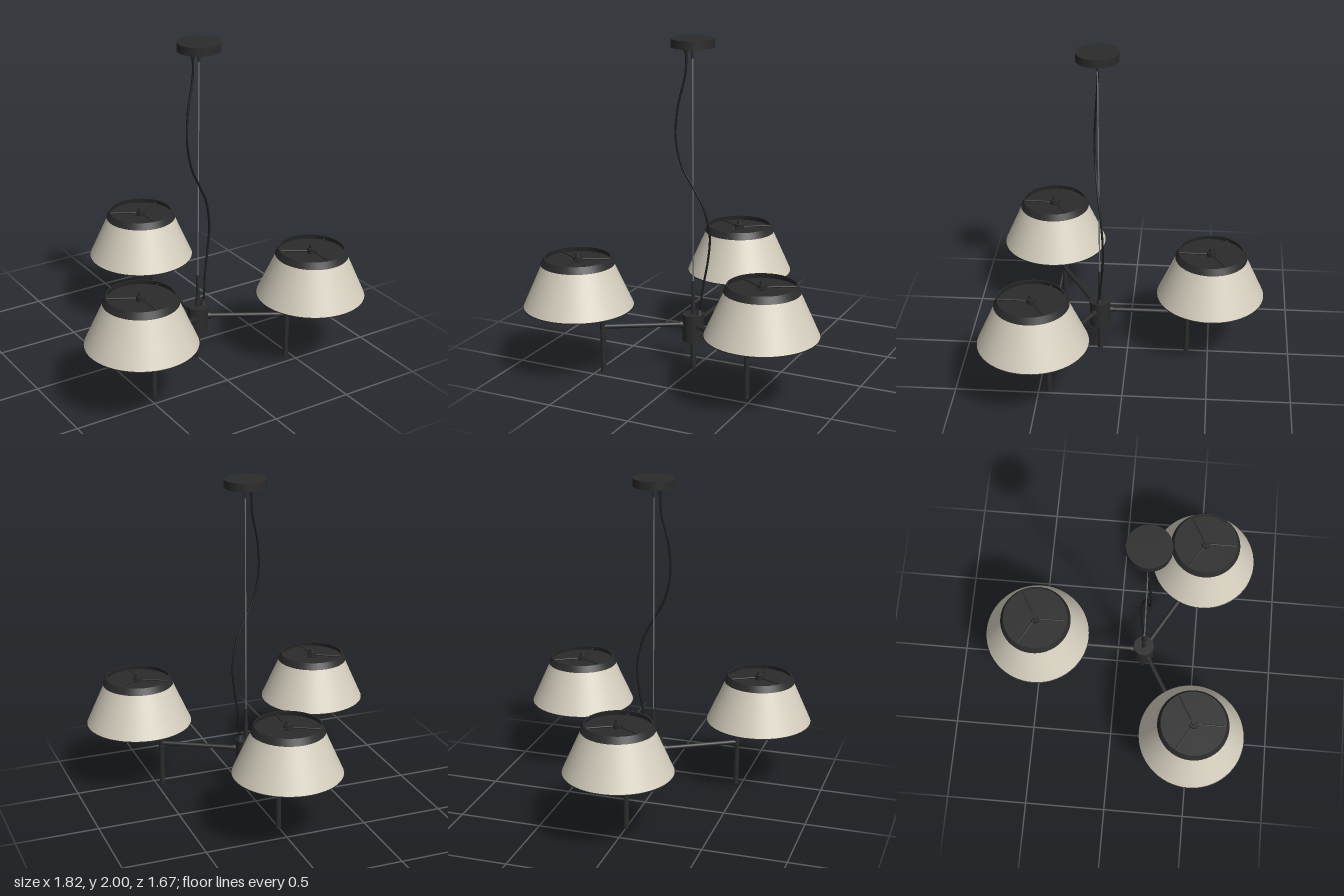
import * as THREE from 'three';

const CENTER_Z = 0.17;
const mat = (name, color, side = THREE.FrontSide) =>
  Object.assign(new THREE.MeshStandardMaterial({ color, side }), { name });

export function createModel() {
  const black = mat('black metal', 0x2b2b2b);
  const blackSheet = mat('black metal', 0x2b2b2b, THREE.DoubleSide);
  const cord = mat('black cord', 0x1c1c1c);
  const fabric = mat('cream fabric', 0xd6cfbf, THREE.DoubleSide);
  const glass = mat('bulb glass', 0xe6e1d4);
  const steel = mat('steel wire', 0x77757a);

  const root = new THREE.Group();
  root.name = 'chandelier';
  const lamp = new THREE.Group();
  lamp.name = 'fixture';
  lamp.position.z = CENTER_Z;
  root.add(lamp);

  const add = (parent, name, geometry, material, x = 0, y = 0, z = 0) => {
    const m = new THREE.Mesh(geometry, material);
    m.name = name;
    m.position.set(x, y, z);
    parent.add(m);
    return m;
  };
  // Upright cylinder or cone from y0 to y1
  const post = (parent, name, r0, r1, y0, y1, material = black, x = 0, z = 0, open = false, seg = 24) =>
    add(parent, name, new THREE.CylinderGeometry(r1, r0, y1 - y0, seg, 1, open), material, x, (y0 + y1) / 2, z);
  // Horizontal rod along +x
  const rod = (parent, name, r, x0, x1, y) => {
    const m = add(parent, name, new THREE.CylinderGeometry(r, r, x1 - x0, 20), black, (x0 + x1) / 2, y, 0);
    m.rotation.z = -Math.PI / 2;
    return m;
  };

  // Ceiling canopy, suspension wire and fittings
  post(lamp, 'canopy', 0.125, 0.125, 1.951, 2, black, 0, 0, false, 48);
  post(lamp, 'wireGrip', 0.009, 0.009, 1.885, 1.951);
  post(lamp, 'upperCordGland', 0.011, 0.021, 1.91, 1.951, black, -0.04);
  post(lamp, 'suspensionWire', 0.004, 0.004, 0.55, 1.89, steel, 0, 0, false, 8);

  // Slack power cord
  const path = new THREE.CatmullRomCurve3([
    [-0.04, 1.93, 0], [-0.043, 1.8, 0.004], [-0.085, 1.6, 0.02], [-0.094, 1.42, 0.03],
    [-0.06, 1.26, 0.024], [0, 1.14, 0.009], [0.06, 1.02, -0.008], [0.095, 0.85, -0.026],
    [0.085, 0.7, -0.028], [0.06, 0.54, -0.016], [0.048, 0.43, -0.004], [0.04, 0.36, 0],
  ].map((p) => new THREE.Vector3(...p)));
  add(lamp, 'powerCord', new THREE.TubeGeometry(path, 90, 0.0065, 10), cord);

  // Central hub
  post(lamp, 'hub', 0.064, 0.064, 0.19, 0.355, black, 0, 0, false, 40);
  post(lamp, 'hubCollar', 0.03, 0.03, 0.172, 0.19);
  post(lamp, 'lowerStem', 0.016, 0.016, 0.005, 0.175);
  post(lamp, 'upperStem', 0.014, 0.012, 0.355, 0.43);
  post(lamp, 'upperStemTip', 0.011, 0.011, 0.43, 0.56);
  post(lamp, 'lowerCordGland', 0.021, 0.012, 0.35, 0.385, black, 0.04);

  // Three arms, each with post, socket, bulb and shade
  const R = 0.675, P = 0.537;
  for (const angle of [Math.PI / 2, -Math.PI / 6, -Math.PI * 5 / 6]) {
    const arm = new THREE.Group();
    arm.name = 'armAssembly';
    arm.rotation.y = angle;
    lamp.add(arm);
    rod(arm, 'arm', 0.014, 0.05, P, 0.29);
    rod(arm, 'armCollar', 0.02, 0.05, 0.08, 0.29);
    post(arm, 'post', 0.016, 0.016, 0.005, 0.6, black, P);
    rod(arm, 'socketNeck', 0.014, P, 0.58, 0.535);
    rod(arm, 'socket', 0.028, 0.57, 0.665, 0.535);

    const bulbProfile = [[0.018, 0], [0.024, 0.02], [0.038, 0.06], [0.044, 0.095], [0.041, 0.13],
      [0.03, 0.17], [0.014, 0.197], [0, 0.205]].map((p) => new THREE.Vector2(...p));
    const bulb = add(arm, 'bulb', new THREE.LatheGeometry(bulbProfile, 28), glass, 0.66, 0.535, 0);
    bulb.rotation.z = -Math.PI / 2;

    // Shade keeps its own orientation, so the spokes all point the same way
    const shade = new THREE.Group();
    shade.name = 'shade';
    shade.position.x = R;
    shade.rotation.y = -angle;
    arm.add(shade);
    post(shade, 'shadeCone', 0.325, 0.205, 0.43, 0.7, fabric, 0, 0, true, 64);
    const hem = add(shade, 'shadeHem', new THREE.TorusGeometry(0.324, 0.003, 6, 64), black, 0, 0.431, 0);
    hem.rotation.x = Math.PI / 2;
    post(shade, 'topBand', 0.217, 0.198, 0.688, 0.728, blackSheet, 0, 0, true, 64);
    post(shade, 'topBandInner', 0.2, 0.19, 0.695, 0.728, blackSheet, 0, 0, true, 64);
    const lip = add(shade, 'topBandLip', new THREE.RingGeometry(0.19, 0.198, 64), blackSheet, 0, 0.728, 0);
    lip.rotation.x = -Math.PI / 2;
    post(shade, 'topDisc', 0.204, 0.2, 0.693, 0.699, black, 0, 0, false, 64);

    // Carrier spokes and finial
    for (let i = 0; i < 3; i++) {
      const spoke = new THREE.Group();
      spoke.name = 'spoke';
      spoke.rotation.y = -Math.PI / 2 + i * Math.PI * 2 / 3;
      shade.add(spoke);
      rod(spoke, 'spokeRod', 0.005, 0.01, 0.193, 0.712);
    }
    post(shade, 'finialBase', 0.028, 0.028, 0.699, 0.73);
    post(shade, 'finial', 0.017, 0.014, 0.73, 0.75);
  }
  return root;
}
